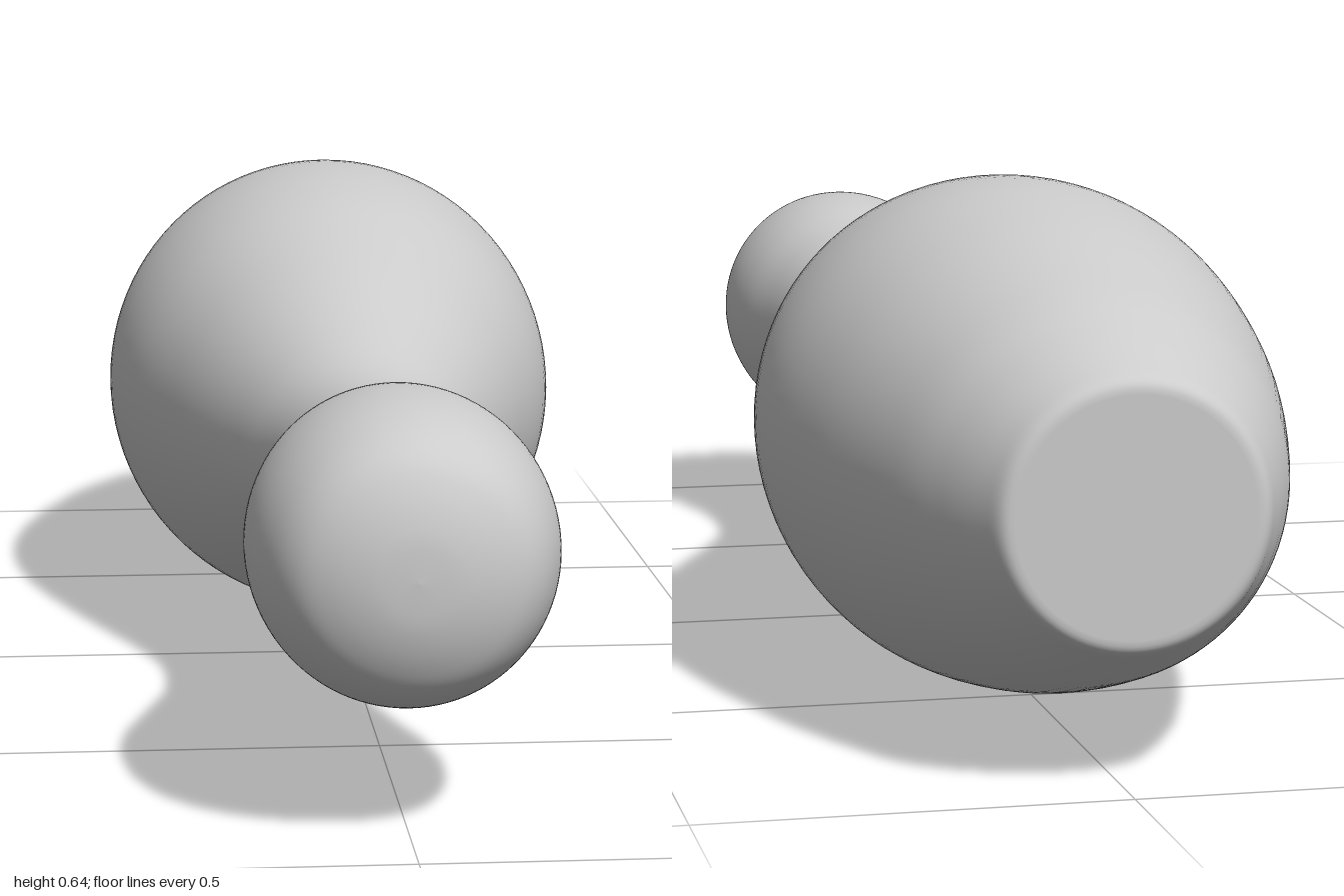
import * as THREE from 'three';

export function createModel() {
  const group = new THREE.Group();
  const material = new THREE.MeshStandardMaterial({ color: 0xcccccc });
  const v = (r, z) => new THREE.Vector2(r, z);

  // Body outline as [radius, distance along the axis], from above the base to the head
  const outline = new THREE.SplineCurve([
    v(0.165, -0.975), v(0.2, -0.9), v(0.238, -0.8), v(0.292, -0.6), v(0.318, -0.4),
    v(0.298, -0.2), v(0.237, 0), v(0.162, 0.2), v(0.129, 0.31), v(0.12, 0.41),
    v(0.127, 0.5), v(0.15, 0.6), v(0.173, 0.69), v(0.182, 0.77), v(0.177, 0.85),
    v(0.16, 0.915), v(0.135, 0.957), v(0.1, 0.981), v(0.053, 0.996), v(0, 1),
  ]);

  // Flat base with a small rounded rim
  const rim = new THREE.CubicBezierCurve(
    v(0.14, -1), v(0.153, -1), v(0.158, -0.99), v(0.165, -0.975));

  const profile = [v(0, -1), v(0.138, -1), ...rim.getPoints(8), ...outline.getPoints(152).slice(1)];
  profile[profile.length - 1].x = 0;

  // Pin lying on its side with the head towards the front
  const pin = new THREE.Mesh(new THREE.LatheGeometry(profile, 96), material);
  pin.name = 'pin';
  pin.rotation.x = Math.PI / 2;
  pin.position.y = 0.32;
  group.add(pin);
  return group;
}
